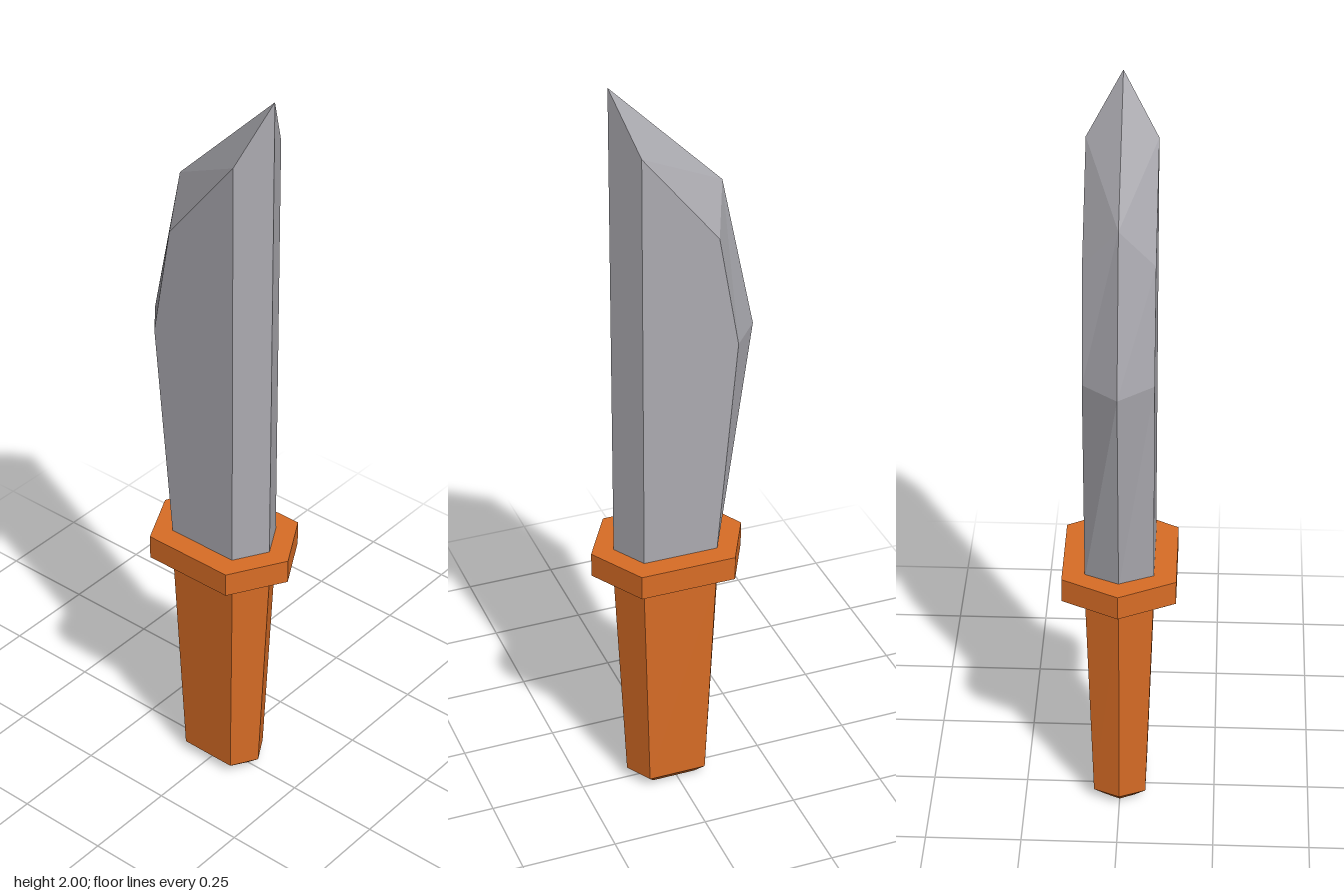
import * as THREE from 'three';

// Hexagonal cross-section: edges on z = 0, shoulders at +-depth.
// Heights may differ per corner: [left edge, left shoulder, right shoulder, right edge]
function ring(xs, ys, depth) {
  const y = Array.isArray(ys) ? ys : [ys, ys, ys, ys];
  const p = (i, z) => new THREE.Vector3(xs[i], y[i], z);
  return [p(0, 0), p(1, depth), p(2, depth), p(3, 0), p(2, -depth), p(1, -depth)];
}

// Skin a stack of rings from bottom to top and close both ends
function loft(name, material, rings) {
  const pos = [];
  const quad = (...c) => [0, 1, 2, 0, 2, 3].forEach((i) => pos.push(...c[i].toArray()));
  for (let r = 0; r < rings.length - 1; r++) {
    const a = rings[r], b = rings[r + 1];
    for (let i = 0; i < 6; i++) {
      const j = (i + 1) % 6;
      quad(a[i], a[j], b[j], b[i]);
    }
  }
  const lo = rings[0], hi = rings[rings.length - 1];
  quad(hi[0], hi[1], hi[2], hi[3]);
  quad(hi[0], hi[3], hi[4], hi[5]);
  quad(lo[3], lo[2], lo[1], lo[0]);
  quad(lo[5], lo[4], lo[3], lo[0]);
  const geometry = new THREE.BufferGeometry();
  geometry.setAttribute('position', new THREE.Float32BufferAttribute(pos, 3));
  geometry.computeVertexNormals();
  const mesh = new THREE.Mesh(geometry, material);
  mesh.name = name;
  return mesh;
}

export function createModel() {
  const steel = new THREE.MeshStandardMaterial({ color: 0xacabb1, flatShading: true });
  const orange = new THREE.MeshStandardMaterial({ color: 0xd96d26, flatShading: true });
  const group = new THREE.Group();
  group.name = 'knife';

  // Blade with a bellied cutting edge, straight spine and bevelled slanted tip
  group.add(loft('blade', steel, [
    ring([-0.13, -0.09, 0.105, 0.155], 0.72, 0.087),
    ring([-0.215, -0.142, 0.105, 0.155], 1.315, 0.087),
    ring([-0.13, -0.09, 0.105, 0.155], [1.72, 1.61, 1.85, 2], 0.087),
  ]));

  // Guard, chamfered underneath
  group.add(loft('guard', orange, [
    ring([-0.13, -0.09, 0.105, 0.155], 0.63, 0.087),
    ring([-0.192, -0.118, 0.132, 0.215], 0.67, 0.144),
    ring([-0.192, -0.118, 0.132, 0.215], 0.735, 0.144),
  ]));

  // Tapered handle with a chamfered butt
  group.add(loft('handle', orange, [
    ring([-0.07, -0.05, 0.065, 0.09], 0, 0.04),
    ring([-0.1, -0.07, 0.085, 0.125], 0.03, 0.068),
    ring([-0.13, -0.09, 0.105, 0.155], 0.63, 0.086),
  ]));
  return group;
}
